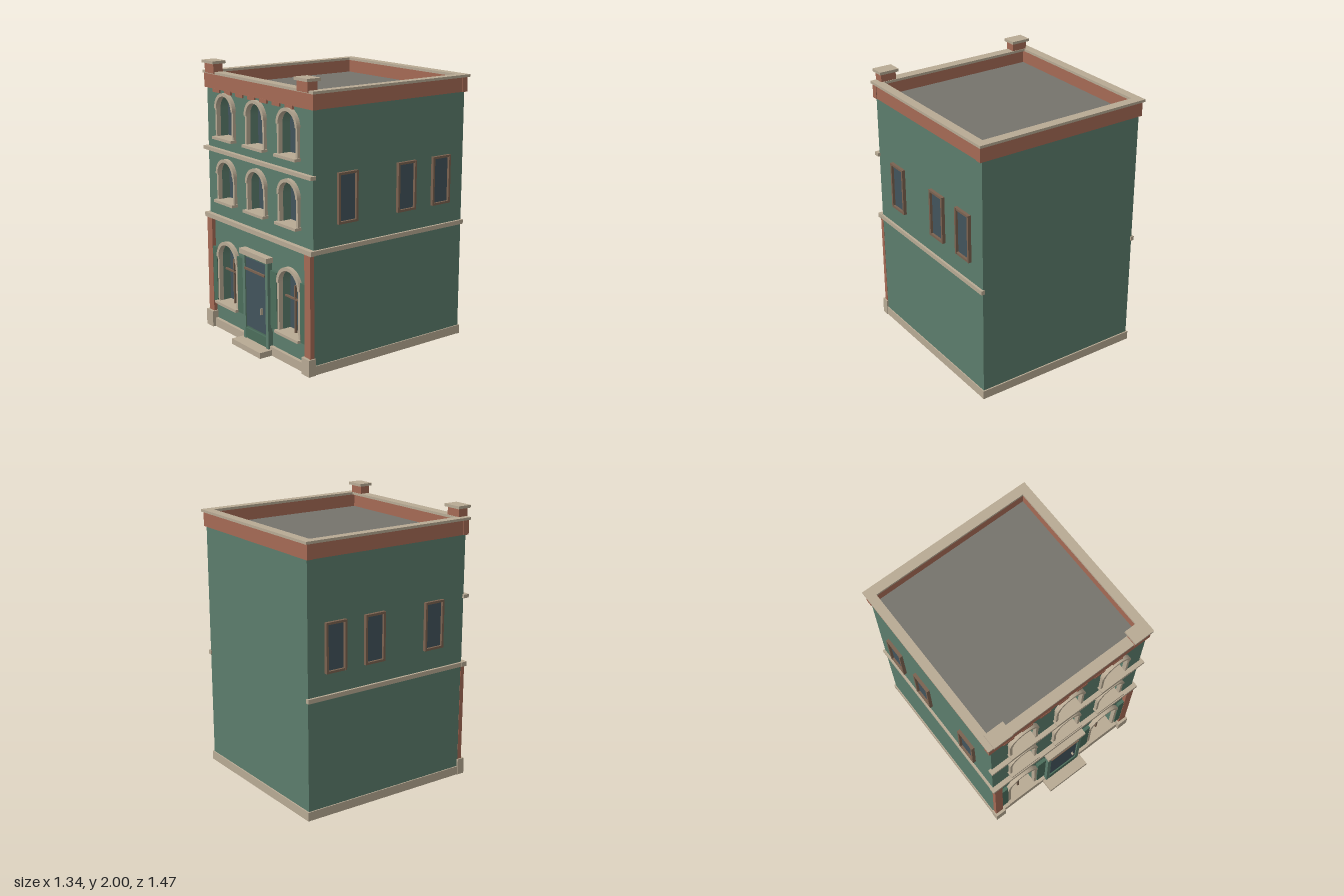
import * as THREE from 'three';

const mat = (color) => new THREE.MeshStandardMaterial({ color, flatShading: true });

export function createModel() {
  const model = new THREE.Group();
  model.name = 'townhouse';
  const green = mat(0x5c7d6c), darkGreen = mat(0x4b6d5b), stone = mat(0xb8aa94);
  const brick = mat(0xa56a55), glass = mat(0x42545c), wood = mat(0x7a6250), roofing = mat(0x75736c);

  const add = (name, geometry, material, parent = model) => {
    const mesh = new THREE.Mesh(geometry, material);
    mesh.name = name;
    parent.add(mesh);
    return mesh;
  };
  // Box given by its min and max on each axis
  const box = (name, material, x0, x1, y0, y1, z0, z1, parent) => {
    const mesh = add(name, new THREE.BoxGeometry(x1 - x0, y1 - y0, z1 - z0), material, parent);
    mesh.position.set((x0 + x1) / 2, (y0 + y1) / 2, (z0 + z1) / 2);
    return mesh;
  };
  // The same box on both sides of the house
  const pair = (name, material, x0, x1, ...rest) => {
    box(name + 'Left', material, x0, x1, ...rest);
    box(name + 'Right', material, -x1, -x0, ...rest);
  };
  // Rounded-top opening: straight sides up to the spring line, then a half circle
  const archPath = (Type, cx, bottom, spring, r) => {
    const p = new Type();
    p.moveTo(cx - r, bottom);
    p.lineTo(cx + r, bottom);
    p.lineTo(cx + r, spring);
    p.absarc(cx, spring, r, 0, Math.PI, false);
    p.closePath();
    return p;
  };
  const extrude = (shape, z0, z1) => new THREE.ExtrudeGeometry(shape,
    { depth: z1 - z0, bevelEnabled: false, curveSegments: 16 }).translate(0, 0, z0);

  // Arched windows, three per upper floor and two beside the door
  const windows = [];
  for (const x of [-0.385, 0, 0.385]) {
    windows.push({ x, bottom: 1.445, spring: 1.665, r: 0.1, band: 0.12 });
    windows.push({ x, bottom: 0.98, spring: 1.19, r: 0.1, band: 0.12 });
    if (x) windows.push({ x, bottom: 0.2, spring: 0.56, r: 0.115, band: 0.137, ground: true });
  }

  // Walls: solid block with a pierced front wall
  box('wallBlock', green, -0.64, 0.64, 0, 1.8, -0.71, 0.52);
  const front = new THREE.Shape();
  front.moveTo(-0.64, 0);
  front.lineTo(0.64, 0);
  front.lineTo(0.64, 1.8);
  front.lineTo(-0.64, 1.8);
  front.closePath();
  for (const w of windows) front.holes.push(archPath(THREE.Path, w.x, w.bottom + 0.01, w.spring, w.r));
  add('frontWall', extrude(front, 0.52, 0.61), green);

  for (const w of windows) {
    const g = new THREE.Group();
    g.name = w.ground ? 'groundFloorWindow' : 'upperWindow';
    model.add(g);
    add('pane', extrude(archPath(THREE.Shape, w.x, w.bottom, w.spring, w.r), 0.521, 0.535), glass, g);
    // Half-ring hood and narrower jambs
    const ring = new THREE.Shape();
    ring.absarc(w.x, w.spring, w.band, 0, Math.PI, false);
    ring.absarc(w.x, w.spring, w.r - 0.003, Math.PI, 0, true);
    ring.closePath();
    add('archTrim', extrude(ring, 0.6, 0.64), stone, g);
    for (const s of [-1, 1]) {
      const a = w.x + s * (w.r - 0.003), b = w.x + s * (w.band - 0.004);
      box('jamb', stone, Math.min(a, b), Math.max(a, b), w.bottom, w.spring, 0.6, 0.633, g);
    }
    box('sill', stone, w.x - w.band - 0.003, w.x + w.band + 0.003, w.bottom, w.bottom + 0.02, 0.6, 0.66, g);
    box('innerSill', stone, w.x - w.r, w.x + w.r, w.bottom + 0.005, w.bottom + 0.019, 0.53, 0.61, g);
    if (w.ground) {
      box('uprightBar', wood, w.x - 0.006, w.x + 0.006, 0.215, 0.56, 0.565, 0.58, g);
      box('crossBar', wood, w.x - w.r, w.x + w.r, 0.455, 0.467, 0.565, 0.58, g);
      for (const s of [-1, 1]) {
        const c = w.x + s * 0.176;
        box('shutter', darkGreen, c - 0.038, c + 0.038, 0.205, 0.625, 0.6, 0.635, g);
      }
    }
  }

  // Plinth, corner pilasters and front step
  box('plinthFront', stone, -0.65, 0.65, 0, 0.065, 0.6, 0.635);
  box('plinthBack', stone, -0.65, 0.65, 0.001, 0.065, -0.72, -0.7);
  pair('plinthSide', stone, 0.63, 0.648, 0.001, 0.065, -0.715, 0.61);
  pair('pilasterBase', stone, 0.565, 0.652, 0, 0.12, 0.6, 0.658);
  pair('pilaster', brick, 0.577, 0.642, 0.12, 0.84, 0.605, 0.638);
  box('frontStep', stone, -0.18, 0.18, 0, 0.042, 0.61, 0.735);

  // Front door
  const door = new THREE.Group();
  door.name = 'frontDoor';
  model.add(door);
  box('doorPanel', darkGreen, -0.13, 0.13, 0.04, 0.676, 0.6, 0.636, door);
  for (const s of [-1, 1]) box('doorJamb', green, s * 0.143 - 0.015, s * 0.143 + 0.015, 0.04, 0.676, 0.6, 0.648, door);
  box('kickPanel', darkGreen, -0.13, 0.13, 0.05, 0.125, 0.61, 0.65, door);
  box('doorGlass', glass, -0.122, 0.122, 0.14, 0.565, 0.62, 0.643, door);
  box('transomGlass', glass, -0.122, 0.122, 0.58, 0.652, 0.62, 0.643, door);
  box('transomBar', wood, -0.128, 0.128, 0.565, 0.58, 0.62, 0.656, door);
  box('handle', stone, 0.081, 0.089, 0.28, 0.325, 0.635, 0.663, door);
  box('lintel', stone, -0.172, 0.172, 0.675, 0.712, 0.6, 0.667, door);

  // Belt courses
  box('lowerBeltFront', stone, -0.66, 0.66, 0.84, 0.873, 0.6, 0.645);
  pair('lowerBeltSide', stone, 0.63, 0.657, 0.841, 0.872, -0.718, 0.61);
  box('upperBelt', stone, -0.66, 0.66, 1.347, 1.373, 0.6, 0.643);

  // Rectangular windows on both sides
  for (const s of [-1, 1]) for (const z of [0.335, -0.177, -0.495]) {
    const g = new THREE.Group();
    g.name = 'sideWindow';
    g.position.set(s * 0.64, 1.195, z);
    model.add(g);
    box('pane', glass, -0.006, 0.006, -0.16, 0.16, -0.068, 0.068, g);
    for (const e of [-1, 1]) {
      box('frameUpright', wood, -0.024, 0.024, -0.174, 0.174, e * 0.074 - 0.008, e * 0.074 + 0.008, g);
      box('frameRail', wood, -0.023, 0.023, e * 0.166 - 0.008, e * 0.166 + 0.008, -0.07, 0.07, g);
    }
  }

  // Roof, parapet, dentils and coping
  box('roof', roofing, -0.63, 0.63, 1.79, 1.812, -0.7, 0.6);
  box('parapetFront', brick, -0.66, 0.66, 1.8, 1.906, 0.575, 0.622);
  box('parapetBack', brick, -0.66, 0.66, 1.8, 1.906, -0.72, -0.672);
  pair('parapetSide', brick, 0.61, 0.655, 1.801, 1.906, -0.675, 0.58);
  for (let i = 0; i < 7; i++) {
    const x = -0.502 + i * 0.149;
    box('dentil', brick, x - 0.042, x + 0.042, 1.777, 1.805, 0.6, 0.624);
  }
  const coping = new THREE.Shape();
  coping.moveTo(-0.67, -0.63);
  coping.lineTo(0.67, -0.63);
  coping.lineTo(0.67, 0.735);
  coping.lineTo(-0.67, 0.735);
  coping.closePath();
  const gap = new THREE.Path();
  gap.moveTo(-0.605, -0.555);
  gap.lineTo(-0.605, 0.665);
  gap.lineTo(0.605, 0.665);
  gap.lineTo(0.605, -0.555);
  gap.closePath();
  coping.holes.push(gap);
  add('coping', extrude(coping, 1.904, 1.922).rotateX(-Math.PI / 2), stone);

  // Corner piers on the parapet
  pair('roofPier', brick, 0.505, 0.622, 1.91, 1.98, 0.56, 0.638);
  pair('roofPierCap', stone, 0.49, 0.638, 1.98, 2, 0.543, 0.652);

  return model;
}
